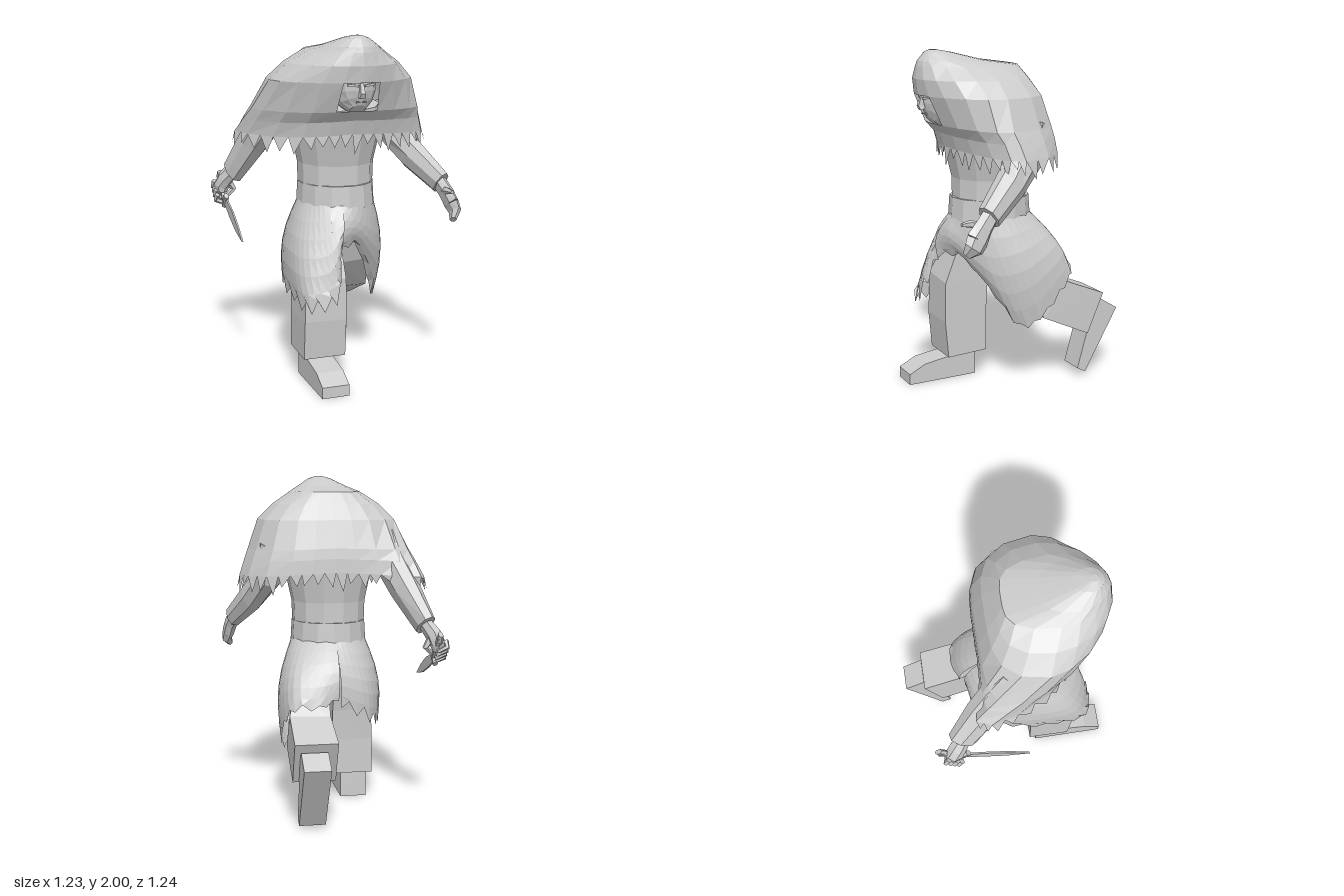
import * as THREE from 'three';

const V = (x, y, z) => new THREE.Vector3(x, y, z);
const mat = new THREE.MeshStandardMaterial({ color: 0xcccccc, flatShading: true, side: THREE.DoubleSide });

let seed = 7;
const rand = () => (seed = (seed * 16807) % 2147483647) / 2147483647;

function add(group, name, geo) {
  const mesh = new THREE.Mesh(geo, mat);
  mesh.name = name;
  group.add(mesh);
  return mesh;
}

function fromTriangles(points) {
  const geo = new THREE.BufferGeometry().setFromPoints(points);
  geo.computeVertexNormals();
  return geo;
}

// Skin between successive rows of points; optional closed ends and left-out quads
function skin(rows, caps = false, skip = () => false) {
  const t = [];
  for (let r = 0; r < rows.length - 1; r++)
    for (let c = 0; c < rows[r].length - 1; c++) {
      if (skip(r, c)) continue;
      const a = rows[r][c], b = rows[r][c + 1], d = rows[r + 1][c], e = rows[r + 1][c + 1];
      t.push(a, d, b, b, d, e);
    }
  if (caps) for (const row of [rows[0], rows[rows.length - 1]])
    for (let c = 1; c < row.length - 2; c++) {
      if (row === rows[0]) t.push(row[0], row[c], row[c + 1]);
      else t.push(row[0], row[c + 1], row[c]);
    }
  return fromTriangles(t);
}

// Many-sided limb along stations [x, y, z, halfWidth, halfDepth]
function limb(group, name, stations, sides = 8) {
  const pts = stations.map(s => V(s[0], s[1], s[2]));
  const grow = 1 / Math.cos(Math.PI / sides);
  const rows = stations.map((s, i) => {
    const dir = pts[Math.min(i + 1, pts.length - 1)].clone().sub(pts[Math.max(i - 1, 0)]).normalize();
    const across = V(1, 0, 0).addScaledVector(dir, -dir.x).normalize();
    const up = dir.clone().cross(across);
    return Array.from({ length: sides + 1 }, (_, k) => {
      const a = ((k % sides) + 0.5) / sides * Math.PI * 2;
      return pts[i].clone()
        .addScaledVector(across, Math.cos(a) * s[3] * grow)
        .addScaledVector(up, Math.sin(a) * s[4] * grow);
    });
  });
  return add(group, name, skin(rows, true));
}

// Side outline in [z, y] given thickness along x, ending at x1
function slab(group, name, outline, x1, width) {
  const shape = new THREE.Shape(outline.map(p => new THREE.Vector2(p[0], p[1])));
  const geo = new THREE.ExtrudeGeometry(shape, { depth: width, bevelEnabled: false });
  geo.rotateY(-Math.PI / 2).translate(x1, 0, 0);
  return add(group, name, geo);
}

// Hooded mantle: level rings [y, backZ, frontZ, halfWidth, widestZ]
function mantle(group) {
  const levels = [
    [2.0, 0.46, 0.5, 0.02, 0.48], [1.985, 0.38, 0.53, 0.07, 0.46], [1.94, 0.2, 0.565, 0.15, 0.38],
    [1.91, -0.01, 0.575, 0.21, 0.28], [1.84, -0.05, 0.585, 0.32, 0.23], [1.75, -0.1, 0.575, 0.415, 0.22],
    [1.59, -0.15, 0.5, 0.475, 0.2], [1.53, -0.16, 0.44, 0.5, 0.17], [1.45, -0.165, 0.415, 0.53, 0.14],
  ];
  const front = [0, 0.25, 0.5, 0.75, 0.93, 1], back = [0.93, 0.75, 0.5, 0.25, 0];
  const rows = levels.map(([y, zb, zf, w, zw]) => {
    const drop = THREE.MathUtils.clamp((1.78 - y) / 0.33, 0, 1), p = y > 1.8 ? 2 : 1.6;
    const half = [
      ...front.map(f => [f, zw + (zf - zw) * (1 - f ** p) ** 0.55]),
      ...back.map(f => [f, zw + (zb - zw) * Math.sqrt(1 - f ** 4)]),
    ];
    // the right side trails back over the arm, the left swings forward
    const place = (f, z, side) =>
      V(side * f * w, y - 0.03 * f * drop, z + (side < 0 ? -0.28 : 0.03) * drop * f ** 4);
    return [...half.map(h => place(h[0], h[1], 1)), ...half.slice(0, -1).reverse().map(h => place(h[0], h[1], -1))];
  });
  // face opening between the brow and chin levels
  add(group, 'hoodedMantle', skin(rows, false, (r, c) => r === 5 && (c === 0 || c === 19)));
  add(group, 'hoodCrown', skin([rows[0], rows[0].map(() => V(0, 2, 0.48))]));

  // ragged fringe hanging from the hem
  const hem = rows[rows.length - 1], t = [];
  for (let c = 0; c < hem.length - 1; c++)
    for (let k = 0; k < 2; k++) {
      const a = hem[c].clone().lerp(hem[c + 1], k / 2), b = hem[c].clone().lerp(hem[c + 1], (k + 1) / 2);
      const tip = a.clone().lerp(b, 0.2 + 0.6 * rand());
      tip.x *= 1.04;
      tip.y -= 0.04 + 0.08 * rand();
      t.push(a, tip, b);
    }
  add(group, 'mantleFringe', fromTriangles(t));
}

// Skirt half from the waist (angles a0..a1, 0 = front) to a hem curve
function skirtPanel(group, name, a0, a1, hemPoints, tooth) {
  const hem = new THREE.CatmullRomCurve3(hemPoints.map(p => V(...p)));
  const n = 24, m = 6, rows = [];
  for (let r = 0; r <= m; r++) {
    const v = r / m, row = [];
    for (let c = 0; c <= n; c++) {
      const a = a0 + (a1 - a0) * c / n, out = V(Math.sin(a), 0, Math.cos(a));
      const p = V(out.x * 0.22, 1.04, 0.13 + out.z * 0.235).lerp(hem.getPoint(c / n), v);
      p.addScaledVector(out, 0.05 * Math.sin(Math.PI * v));
      if (r === m) p.y += (c % 2 ? 1 : -0.3) * tooth * (0.6 + 0.6 * rand());
      row.push(p);
    }
    rows.push(row);
  }
  add(group, name, skin(rows));
}

function head(group) {
  const h = new THREE.Group();
  h.name = 'head';
  limb(h, 'skull', [
    [0, 1.595, 0.485, 0.045, 0.045], [0, 1.63, 0.455, 0.09, 0.09], [0, 1.69, 0.44, 0.112, 0.105],
    [0, 1.76, 0.435, 0.118, 0.11], [0, 1.84, 0.43, 0.1, 0.1],
  ], 12);
  limb(h, 'nose', [[0, 1.745, 0.545, 0.009, 0.01], [0, 1.69, 0.558, 0.013, 0.018], [0, 1.67, 0.55, 0.018, 0.014]], 4);
  limb(h, 'lips', [[-0.028, 1.643, 0.536, 0.006, 0.006], [0, 1.645, 0.546, 0.008, 0.008], [0.028, 1.643, 0.536, 0.006, 0.006]], 6);
  for (const s of [-1, 1]) {
    const brow = add(h, 'brow', new THREE.BoxGeometry(0.06, 0.012, 0.02));
    brow.position.set(s * 0.045, 1.735, 0.538);
    brow.rotation.set(0, s * 0.25, s * 0.12);
  }
  group.add(h);
}

function arms(group) {
  // left arm reaching forward with the fingers held together
  limb(group, 'leftSleeve', [[0.33, 1.6, 0.05, 0.09, 0.1], [0.37, 1.41, 0.09, 0.075, 0.1], [0.45, 1.28, 0.23, 0.07, 0.09], [0.55, 1.14, 0.41, 0.05, 0.07]]);
  const left = new THREE.Group();
  left.name = 'leftHand';
  limb(left, 'palm', [[0.54, 1.155, 0.39, 0.033, 0.045], [0.565, 1.09, 0.45, 0.033, 0.05], [0.58, 1.03, 0.495, 0.03, 0.06]], 6);
  limb(left, 'fingers', [[0.58, 1.03, 0.495, 0.03, 0.06], [0.59, 0.99, 0.52, 0.026, 0.052], [0.565, 0.95, 0.55, 0.016, 0.025]], 6);
  limb(left, 'thumb', [[0.55, 1.1, 0.46, 0.018, 0.02], [0.54, 1.115, 0.52, 0.016, 0.016], [0.545, 1.115, 0.57, 0.009, 0.009]], 5);
  group.add(left);

  // right arm drawn back, fist closed round the knife
  limb(group, 'rightSleeve', [[-0.32, 1.63, 0.03, 0.09, 0.1], [-0.36, 1.47, -0.07, 0.085, 0.105], [-0.41, 1.35, -0.165, 0.08, 0.1], [-0.5, 1.152, -0.305, 0.055, 0.088]]);
  const right = new THREE.Group();
  right.name = 'rightHand';
  limb(right, 'fist', [[-0.5, 1.16, -0.3, 0.035, 0.045], [-0.54, 1.1, -0.345, 0.042, 0.05], [-0.56, 1.05, -0.37, 0.042, 0.05], [-0.56, 1.01, -0.365, 0.03, 0.04]], 7);
  for (let i = 0; i < 4; i++) {
    const d = i * 0.024;
    limb(right, 'finger', [[-0.595, 1.075 - d, -0.4 + d, 0.014, 0.014], [-0.6, 1.04 - d, -0.42 + d, 0.014, 0.014], [-0.545, 1.015 - d, -0.41 + d, 0.011, 0.011]], 5);
  }
  limb(right, 'thumb', [[-0.52, 1.08, -0.35, 0.02, 0.02], [-0.49, 1.03, -0.35, 0.016, 0.016], [-0.53, 0.99, -0.34, 0.01, 0.01]], 5);
  group.add(right);

  const knife = new THREE.Group();
  knife.name = 'knife';
  limb(knife, 'grip', [[-0.55, 1.1, -0.45, 0.018, 0.018], [-0.55, 0.96, -0.31, 0.016, 0.016]], 6);
  limb(knife, 'pommel', [[-0.55, 1.12, -0.455, 0.013, 0.022], [-0.55, 1.08, -0.43, 0.013, 0.03]], 6);
  limb(knife, 'guard', [[-0.55, 1.0, -0.285, 0.014, 0.018], [-0.55, 0.93, -0.345, 0.014, 0.018]], 6);
  slab(knife, 'blade', [[-0.32, 0.945], [-0.2, 0.885], [-0.06, 0.83], [0.08, 0.8], [-0.02, 0.87], [-0.14, 0.935], [-0.29, 0.985]], -0.545, 0.01);
  group.add(knife);
}

function legs(group) {
  limb(group, 'rightTrouser', [[-0.11, 1.0, 0.15, 0.07, 0.09], [-0.15, 0.6, 0.265, 0.12, 0.14], [-0.155, 0.38, 0.275, 0.125, 0.135], [-0.155, 0.16, 0.265, 0.125, 0.125]], 4);
  slab(group, 'rightFoot', [[0.62, 0], [0.62, 0.065], [0.52, 0.115], [0.35, 0.14], [0.34, 0.18], [0.19, 0.18], [0.185, 0]], -0.09, 0.16);
  limb(group, 'leftTrouser', [[0.11, 0.98, 0.09, 0.07, 0.09], [0.14, 0.68, -0.04, 0.1, 0.12], [0.165, 0.52, -0.17, 0.12, 0.128], [0.165, 0.4, -0.445, 0.125, 0.132]], 4);
  slab(group, 'leftFoot', [[-0.62, 0.4], [-0.5, 0.475], [-0.43, 0.43], [-0.41, 0.28], [-0.345, 0.05], [-0.4, 0.02]], 0.255, 0.155);
}

export function createModel() {
  const model = new THREE.Group();
  model.name = 'hoodedFigure';

  mantle(model);
  head(model);
  limb(model, 'torso', [[0, 1.1, 0.13, 0.21, 0.215], [0, 1.26, 0.13, 0.215, 0.215], [0, 1.45, 0.135, 0.255, 0.25], [0, 1.6, 0.15, 0.24, 0.23]], 12);
  limb(model, 'waistband', [[0, 1.015, 0.13, 0.222, 0.24], [0, 1.145, 0.13, 0.215, 0.23]], 14);
  // left half wraps across the front and sweeps back with the leg
  skirtPanel(model, 'leftSkirt', -0.48, 3.2, [[-0.1, 0.77, 0.42], [0.04, 0.79, 0.34], [0.18, 0.56, 0.18], [0.27, 0.38, 0.05], [0.31, 0.43, -0.05], [0.31, 0.56, -0.18], [0.26, 0.67, -0.29], [0.12, 0.68, -0.31], [0, 0.72, -0.27]], 0.025);
  skirtPanel(model, 'rightSkirt', -0.15, -3.1, [[-0.07, 0.77, 0.43], [-0.13, 0.52, 0.53], [-0.27, 0.47, 0.5], [-0.31, 0.5, 0.3], [-0.29, 0.52, 0.02], [-0.2, 0.58, -0.18], [-0.02, 0.68, -0.24]], 0.06);
  arms(model);
  legs(model);
  return model;
}
